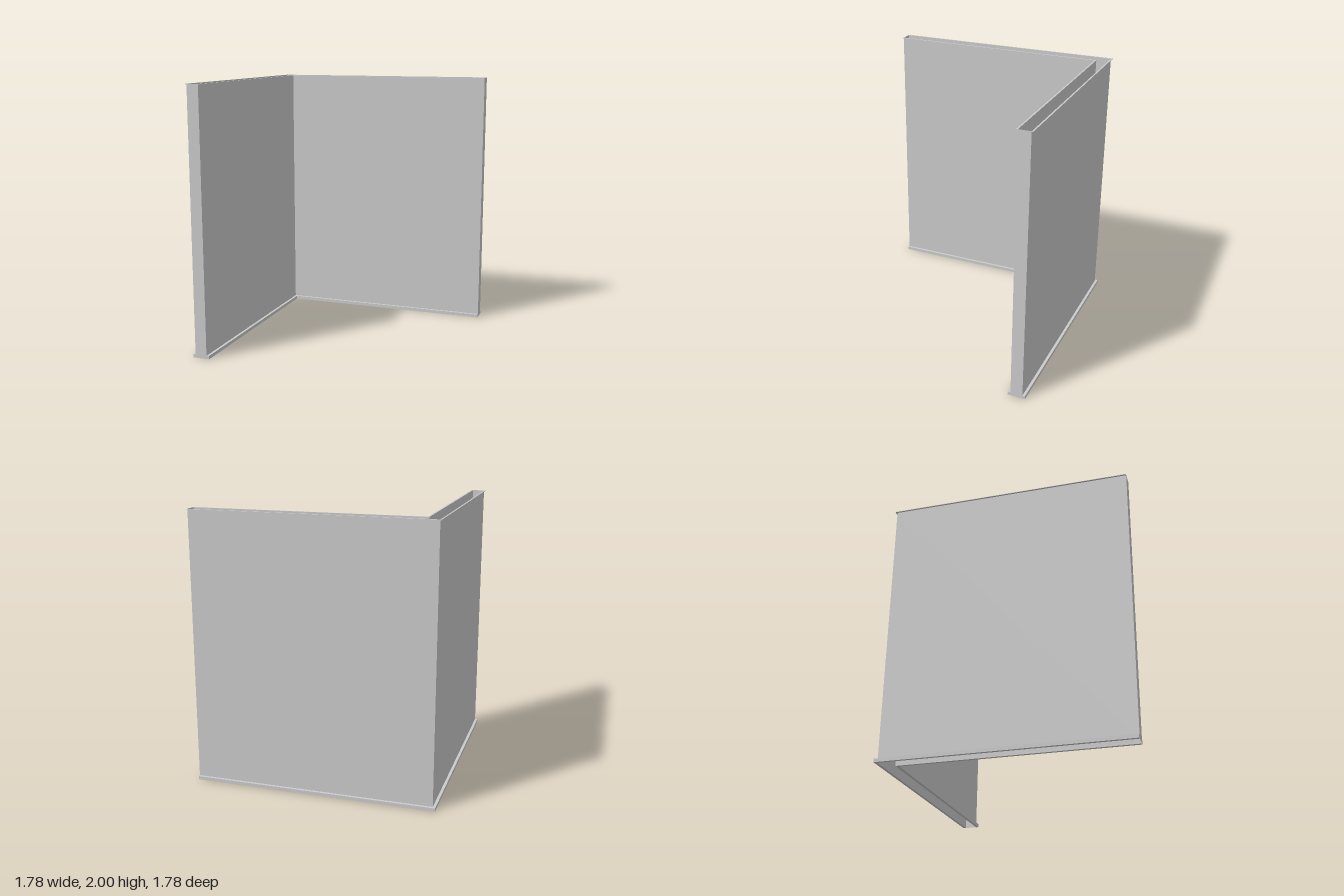
import * as THREE from 'three';

const END = 0.89;      // free ends of both wall legs
const OUTER = -0.87;   // outer skin
const INNER = -0.78;   // inner skin
const HEIGHT = 2;

export function createModel() {
  const group = new THREE.Group();
  group.name = 'cornerWall';
  const solid = new THREE.MeshStandardMaterial({ color: 0xcccccc, flatShading: true });
  const sheet = new THREE.MeshStandardMaterial({ color: 0xcccccc, side: THREE.DoubleSide });

  function add(name, geometry, material) {
    const mesh = new THREE.Mesh(geometry, material);
    mesh.name = name;
    group.add(mesh);
    return mesh;
  }

  // Upright sheet from (x0, z0) to (x1, z1)
  function panel(name, x0, z0, x1, z1) {
    const geometry = new THREE.PlaneGeometry(Math.hypot(x1 - x0, z1 - z0), HEIGHT);
    const mesh = add(name, geometry, sheet);
    mesh.position.set((x0 + x1) / 2, HEIGHT / 2, (z0 + z1) / 2);
    mesh.rotation.y = Math.atan2(z0 - z1, x1 - x0);
  }

  // L-shaped moulding between offsets a < b, from height y0 to y1
  function moulding(name, a, b, y0, y1) {
    const outline = [[a, a], [END, a], [END, b], [b, b], [b, END], [a, END]];
    const shape = new THREE.Shape(outline.map(([x, z]) => new THREE.Vector2(x, z)));
    const geometry = new THREE.ExtrudeGeometry(shape, { depth: y1 - y0, bevelEnabled: false });
    geometry.rotateX(Math.PI / 2).translate(0, y1, 0);
    add(name, geometry, solid);
  }

  // Hollow wall: two skins, open above and below
  for (const [side, p] of [['outer', OUTER], ['inner', INNER]]) {
    panel(side + 'BackSkin', p, p, END, p);
    panel(side + 'SideSkin', p, END, p, p);
  }

  // Closed ends of the two legs
  panel('backWallEnd', END, INNER, END, OUTER);
  panel('sideWallEnd', OUTER, END, INNER, END);

  // Skirting boards along the foot
  moulding('outerSkirting', OUTER - 0.02, OUTER, 0, 0.025);
  moulding('innerSkirting', INNER, INNER + 0.02, 0, 0.025);

  // Thin lips along the top edge
  moulding('outerTopLip', OUTER - 0.012, OUTER, HEIGHT - 0.004, HEIGHT);
  moulding('innerTopLip', INNER, INNER + 0.012, HEIGHT - 0.004, HEIGHT);

  return group;
}
